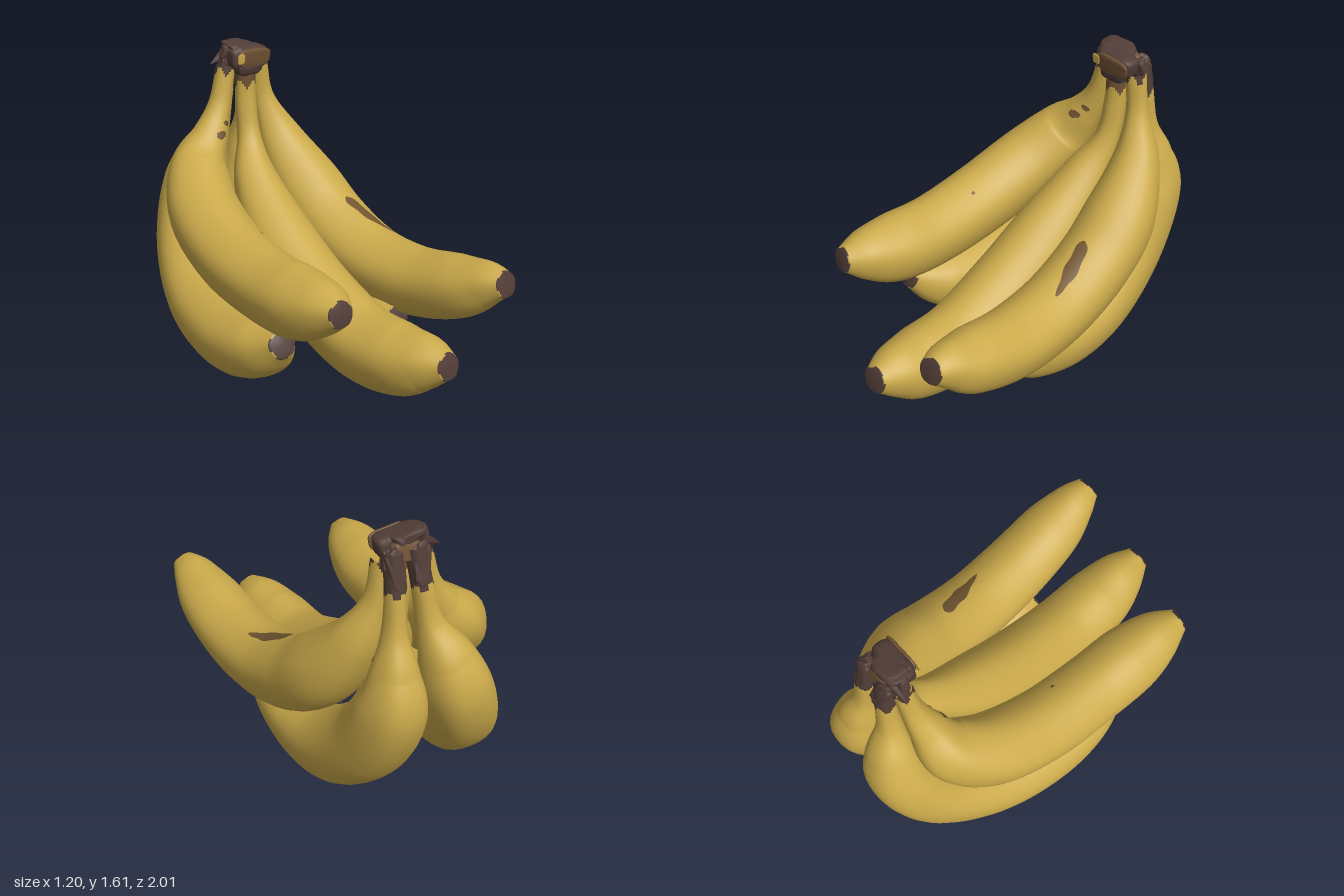
import * as THREE from 'three';

const mat = (name, color, side = THREE.FrontSide) => {
  const m = new THREE.MeshStandardMaterial({ color, side });
  m.name = name;
  return m;
};
const peel = mat('yellow peel', 0xcbaa4b);
const bark = mat('dark brown bark', 0x523d37);
const cut = mat('cut stem brown', 0x6e5134);
const bruise = mat('bruise brown', 0x705530, THREE.DoubleSide);

const SIDES = 32, STEPS = 15;

// Each fruit: centre line with radius [x, y, z, r], sideways width factor,
// and length (in path segments) and material of the brown neck
const fruits = {
  upperRightBanana: { neck: 0.15, neckMat: bark, width: 1, path: [
    [-0.01, 1.48, -0.66, 0.05], [-0.06, 1.28, -0.655, 0.06], [-0.135, 1.13, -0.64, 0.095], [-0.245, 0.975, -0.6, 0.155],
    [-0.345, 0.815, -0.42, 0.186], [-0.395, 0.695, -0.13, 0.19], [-0.41, 0.64, 0.2, 0.185], [-0.42, 0.65, 0.46, 0.18],
    [-0.43, 0.69, 0.645, 0.135], [-0.445, 0.716, 0.78, 0.062]] },
  middleBanana: { neck: 0.55, neckMat: cut, width: 1, path: [
    [0.09, 1.5, -0.62, 0.05], [0.085, 1.28, -0.62, 0.057], [0.075, 1.08, -0.58, 0.066], [0.032, 0.88, -0.47, 0.12],
    [0.008, 0.65, -0.25, 0.173], [0.003, 0.43, 0.06, 0.195], [0.015, 0.288, 0.4, 0.197], [0.025, 0.29, 0.68, 0.184],
    [0.037, 0.338, 0.86, 0.138], [0.045, 0.367, 0.995, 0.066]] },
  upperLeftBanana: { neck: 0.1, neckMat: bark, width: 1.03, path: [
    [0.187, 1.48, -0.65, 0.052], [0.22, 1.26, -0.64, 0.059], [0.283, 1.03, -0.575, 0.123], [0.335, 0.8, -0.415, 0.182],
    [0.36, 0.63, -0.21, 0.19], [0.38, 0.51, 0.08, 0.187], [0.405, 0.493, 0.4, 0.18], [0.425, 0.562, 0.69, 0.162],
    [0.437, 0.635, 0.86, 0.114], [0.445, 0.667, 0.968, 0.064]] },
  lowerRightBanana: { neck: 1.0, neckMat: bark, width: 1, path: [
    [0.05, 1.53, -0.7, 0.052], [0.03, 1.34, -0.735, 0.052], [-0.005, 1.13, -0.76, 0.07], [-0.065, 0.95, -0.812, 0.138],
    [-0.13, 0.75, -0.82, 0.18], [-0.24, 0.485, -0.69, 0.197], [-0.34, 0.305, -0.43, 0.203], [-0.39, 0.25, -0.11, 0.203],
    [-0.42, 0.3, 0.17, 0.16], [-0.45, 0.39, 0.358, 0.064]] },
  lowerLeftBanana: { neck: 1.0, neckMat: bark, width: 0.91, path: [
    [0.17, 1.53, -0.7, 0.05], [0.175, 1.34, -0.735, 0.052], [0.185, 1.13, -0.755, 0.067], [0.197, 0.95, -0.785, 0.125],
    [0.21, 0.74, -0.782, 0.183], [0.228, 0.445, -0.62, 0.2], [0.257, 0.24, -0.36, 0.2], [0.275, 0.18, -0.1, 0.188],
    [0.28, 0.23, 0.16, 0.168], [0.275, 0.295, 0.3, 0.118], [0.275, 0.335, 0.408, 0.062]] },
};

// Point on a fruit's skin: u counts path segments, a = 0 is +x, a = PI/2 is the upper/front side
function makeSkin({ path, width }) {
  const n = path.length - 1;
  const line = new THREE.CatmullRomCurve3(path.map(p => new THREE.Vector3(p[0], p[1], p[2])), false, 'catmullrom', 0.5);
  const radii = new THREE.CatmullRomCurve3(path.map(p => new THREE.Vector3(p[3], 0, 0)), false, 'catmullrom', 0.5);
  const xAxis = new THREE.Vector3(1, 0, 0);
  return (u, a, lift = 0, scale = 1) => {
    const t = Math.min(u / n, 1);
    const tan = line.getTangent(t);
    const up = tan.clone().cross(xAxis).normalize();
    const side = up.clone().cross(tan);
    // Softly five-sided section
    const r = (radii.getPoint(t).x * (1 + 0.02 * Math.cos(5 * (a - Math.PI / 2))) + lift) * scale;
    return line.getPoint(t).addScaledVector(side, r * width * Math.cos(a)).addScaledVector(up, r * Math.sin(a));
  };
}

function makeGeometry(points, index) {
  const g = new THREE.BufferGeometry().setFromPoints(points);
  g.setIndex(index);
  g.computeVertexNormals();
  return g;
}

// Loft a fruit, splitting faces into peel, neck and blunt tip
function makeBanana(name, { path, neck, neckMat }, skin) {
  const n = path.length - 1, rings = n * STEPS;
  const points = [], faces = [[], [], []];
  for (let i = 0; i <= rings + 1; i++)
    for (let j = 0; j < SIDES; j++)
      points.push(skin(i / STEPS, j / SIDES * Math.PI * 2, 0, i > rings ? 0.01 : 1));
  for (let i = 0; i <= rings; i++)
    for (let j = 0; j < SIDES; j++) {
      const k = (j + 1) % SIDES, u = (i + 0.5) / STEPS, ragged = Math.sin(j * 0.8);
      const a = i * SIDES + j, b = i * SIDES + k;
      const part = u < neck + 0.1 * ragged ? 1 : u > n - 0.05 + 0.04 * ragged ? 2 : 0;
      faces[part].push(a, b, a + SIDES, b, b + SIDES, a + SIDES);
    }
  const g = makeGeometry(points, faces.flat());
  let start = 0;
  faces.forEach((list, m) => {
    g.addGroup(start, list.length, m);
    start += list.length;
  });
  const mesh = new THREE.Mesh(g, [peel, neckMat, bark]);
  mesh.name = name;
  return mesh;
}

// Thin irregular mark lying on the skin; taper narrows it toward its far end
function makeSpot(skin, u0, u1, angle, width, drift = 0, taper = 0) {
  const points = [], index = [], rows = 16, cols = 6;
  for (let i = 0; i <= rows; i++) {
    const s = i / rows;
    const w = width * (0.1 + Math.sqrt(Math.sin(Math.PI * s))) * (1 - taper * s) * (0.9 + 0.12 * Math.sin(s * 15));
    const mid = angle + drift * (s - 0.5);
    for (let j = 0; j <= cols; j++)
      points.push(skin(u0 + (u1 - u0) * s, mid + w * (j / cols - 0.5), 0.003));
  }
  for (let i = 0; i < rows; i++)
    for (let j = 0; j < cols; j++) {
      const a = i * (cols + 1) + j, c = a + cols + 1;
      index.push(a, a + 1, c, a + 1, c + 1, c);
    }
  const mesh = new THREE.Mesh(makeGeometry(points, index), bruise);
  mesh.name = 'bruise';
  return mesh;
}

// Rounded, slightly lumpy block; flare widens it toward the top
function makeLump(name, material, size, pos, rot = [0, 0, 0], lumps = 0.05, flare = 0) {
  const g = new THREE.SphereGeometry(1, 28, 18), p = g.attributes.position;
  const square = v => Math.sign(v) * Math.pow(Math.abs(v), 0.55);
  for (let i = 0; i < p.count; i++) {
    const x = p.getX(i), y = p.getY(i), z = p.getZ(i);
    const k = 1 + lumps * Math.sin(5 * x + 3 * z) * Math.cos(4 * y + 2 * x), f = k * (1 + flare * y);
    p.setXYZ(i, square(x) * f * size[0], square(y) * k * size[1], square(z) * f * size[2]);
  }
  g.computeVertexNormals();
  const mesh = new THREE.Mesh(g, material);
  mesh.name = name;
  mesh.position.set(...pos);
  mesh.rotation.set(...rot);
  return mesh;
}

function makeCrown() {
  const crown = new THREE.Group();
  crown.name = 'crown';
  crown.add(
    makeLump('crownBlock', bark, [0.115, 0.064, 0.058], [0.09, 1.522, -0.617], [0.1, 0, -0.08]),
    makeLump('cutFace', cut, [0.1, 0.05, 0.011], [0.105, 1.52, -0.56], [0.1, 0, -0.06], 0.03),
    makeLump('peelPatch', peel, [0.022, 0.028, 0.004], [0.01, 1.53, -0.547], [0.1, 0, 0], 0.03),
    makeLump('crownTop', bark, [0.085, 0.026, 0.068], [0.065, 1.57, -0.647], [0.15, 0.1, -0.12], 0.1),
    makeLump('cutBack', cut, [0.07, 0.045, 0.025], [0.1, 1.515, -0.7], [0.28, 0, 0.1], 0.1),
    makeLump('collar', bark, [0.078, 0.035, 0.055], [0.092, 1.455, -0.612], [0, 0, 0], 0.03, 0.25),
  );
  // Dry flakes round the back and sides: x, y, z, half width, half height, tilt
  [[0.04, 1.45, -0.737, 0.045, 0.1, 0.1], [0.17, 1.45, -0.737, 0.04, 0.1, -0.1],
    [0.2, 1.495, -0.69, 0.018, 0.05, 0.3], [-0.02, 1.48, -0.66, 0.032, 0.05, -0.3],
    [-0.015, 1.55, -0.65, 0.03, 0.04, -0.4]].forEach(([x, y, z, w, h, tilt]) =>
    crown.add(makeLump('flake', bark, [w, h, 0.025], [x, y, z], [0.28, 0, tilt], 0.14)));
  // Pointed strip curling off one side
  const strip = new THREE.Mesh(new THREE.ConeGeometry(0.042, 0.12, 8), bark);
  strip.name = 'curledStrip';
  strip.scale.z = 0.6;
  strip.position.set(-0.038, 1.515, -0.69);
  strip.rotation.z = 2.0;
  crown.add(strip);
  return crown;
}

export function createModel() {
  const model = new THREE.Group();
  model.name = 'bananaBunch';
  const skins = {};
  for (const [name, fruit] of Object.entries(fruits)) {
    skins[name] = makeSkin(fruit);
    model.add(makeBanana(name, fruit, skins[name]));
  }
  const up = Math.PI / 2;
  model.add(
    makeSpot(skins.upperLeftBanana, 3.95, 5.25, up - 0.22, 0.5, -0.35, 0.6),
    makeSpot(skins.upperRightBanana, 1.45, 1.62, up - 0.3, 0.65),
    makeSpot(skins.upperRightBanana, 1.82, 2.1, up - 0.05, 0.6, 0.3),
    makeSpot(skins.upperRightBanana, 5.3, 5.37, up - 0.55, 0.1),
    makeSpot(skins.middleBanana, 8.12, 8.3, -up + 0.1, 0.26),
    makeSpot(skins.lowerLeftBanana, 2.6, 2.74, 0.5, 0.2),
    makeCrown(),
  );
  return model;
}
